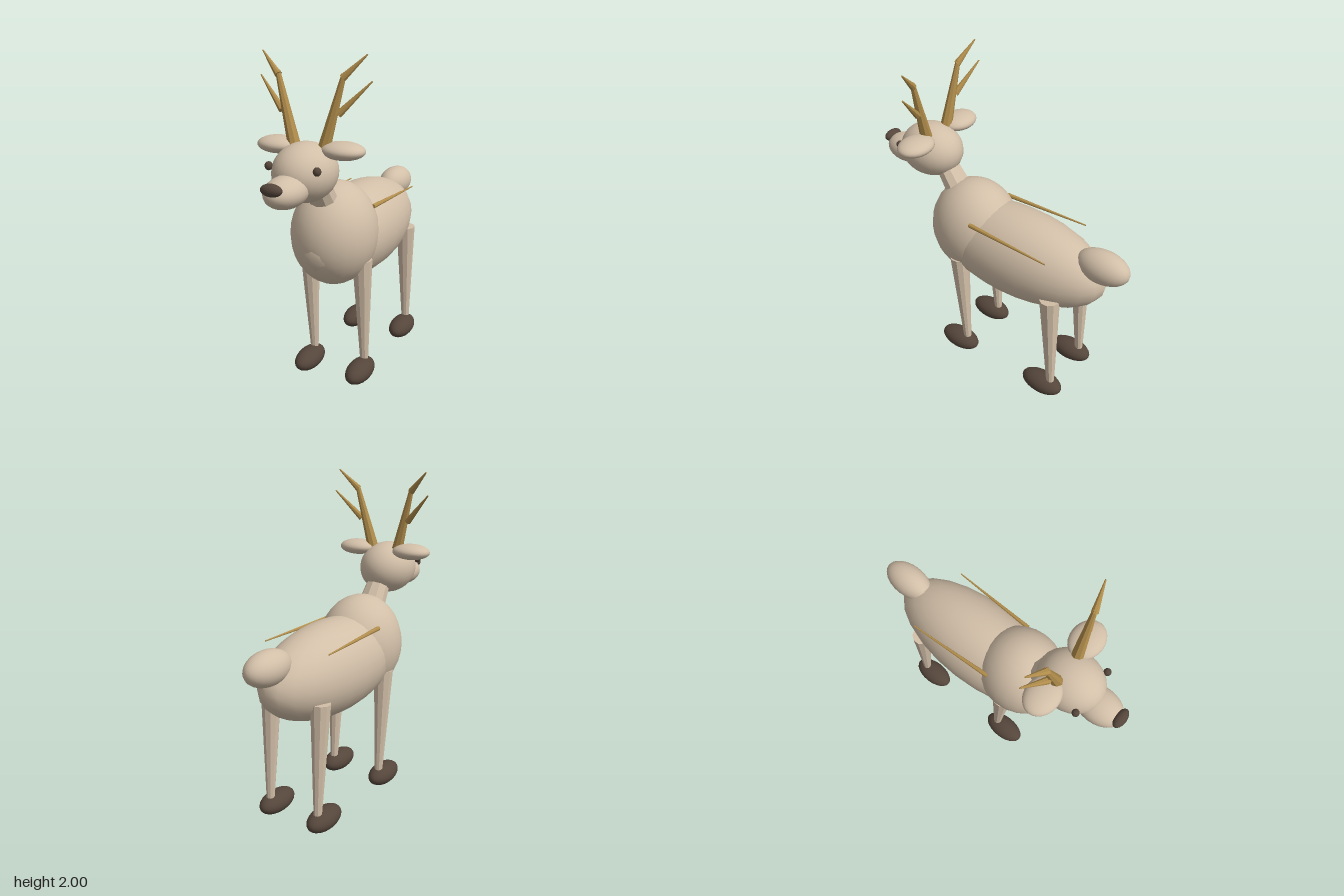
import * as THREE from 'three';

export function createModel() {
  const model = new THREE.Group();
  model.name = 'deer';

  const material = (name, color, flatShading = false) => {
    const m = new THREE.MeshStandardMaterial({ color, flatShading });
    m.name = name;
    return m;
  };
  const fur = material('fur', 0xd2bfa8);
  const furFaceted = material('fur faceted', 0xd2bfa8, true);
  const horn = material('horn', 0xb28e4c, true);
  const dark = material('dark brown', 0x55463b);

  // Ellipsoid from a centre and three radii
  const ellipsoid = (name, mat, centre, radii, w = 24, h = 16) => {
    const mesh = new THREE.Mesh(new THREE.SphereGeometry(1, w, h), mat);
    mesh.name = name;
    mesh.position.set(...centre);
    mesh.scale.set(...radii);
    model.add(mesh);
    return mesh;
  };

  // Tapered faceted rod between two points
  const rod = (name, mat, from, to, r0, r1, sides = 8) => {
    const a = new THREE.Vector3(...from);
    const b = new THREE.Vector3(...to);
    const dir = b.clone().sub(a);
    const mesh = new THREE.Mesh(new THREE.CylinderGeometry(r1, r0, dir.length(), sides), mat);
    mesh.name = name;
    mesh.position.copy(a).add(b).multiplyScalar(0.5);
    mesh.quaternion.setFromUnitVectors(new THREE.Vector3(0, 1, 0), dir.normalize());
    model.add(mesh);
    return mesh;
  };

  // Torso, neck and tail
  ellipsoid('body', fur, [0, 0.885, -0.135], [0.263, 0.285, 0.61]);
  ellipsoid('chest', fur, [0, 0.943, 0.187], [0.256, 0.316, 0.285]);
  ellipsoid('tail', fur, [0, 1.038, -0.715], [0.098, 0.1, 0.167]);
  rod('neck', furFaceted, [0, 1.1, 0.27], [0, 1.4, 0.47], 0.085, 0.058, 10).scale.x = 1.12;

  // Head
  ellipsoid('head', fur, [0, 1.384, 0.515], [0.174, 0.164, 0.203]);
  ellipsoid('snout', fur, [0, 1.323, 0.71], [0.107, 0.087, 0.152]);
  ellipsoid('nose', dark, [0, 1.366, 0.848], [0.063, 0.034, 0.034], 16, 12);

  for (const s of [1, -1]) {
    const side = s > 0 ? 'left' : 'right';

    ellipsoid(side + 'Eye', dark, [s * 0.145, 1.43, 0.645], [0.022, 0.024, 0.022], 12, 10);
    ellipsoid(side + 'Ear', fur, [s * 0.198, 1.507, 0.46], [0.124, 0.049, 0.098]);

    // Antler beam with two tines
    rod(side + 'AntlerBeam', horn, [s * 0.088, 1.5, 0.473], [s * 0.198, 1.9, 0.448], 0.037, 0.014);
    rod(side + 'UpperTine', horn, [s * 0.192, 1.88, 0.452], [s * 0.312, 1.999, 0.41], 0.021, 0.004);
    rod(side + 'LowerTine', horn, [s * 0.17, 1.695, 0.458], [s * 0.335, 1.866, 0.4], 0.021, 0.004);

    // Thin rod along the flank
    rod(side + 'FlankRod', horn, [s * 0.197, 1.097, 0.08], [s * 0.224, 1.085, -0.47], 0.014, 0.004);

    // Legs and hooves
    for (const [end, z] of [['Front', 0.182], ['Rear', -0.488]]) {
      rod(side + end + 'Leg', furFaceted,
        [s * 0.177, 0.09, z - 0.04], [s * 0.178, 0.798, z], 0.024, 0.061, 10);
      ellipsoid(side + end + 'Hoof', dark, [s * 0.178, 0.067, z + 0.022], [0.076, 0.067, 0.141]);
    }
  }
  return model;
}
